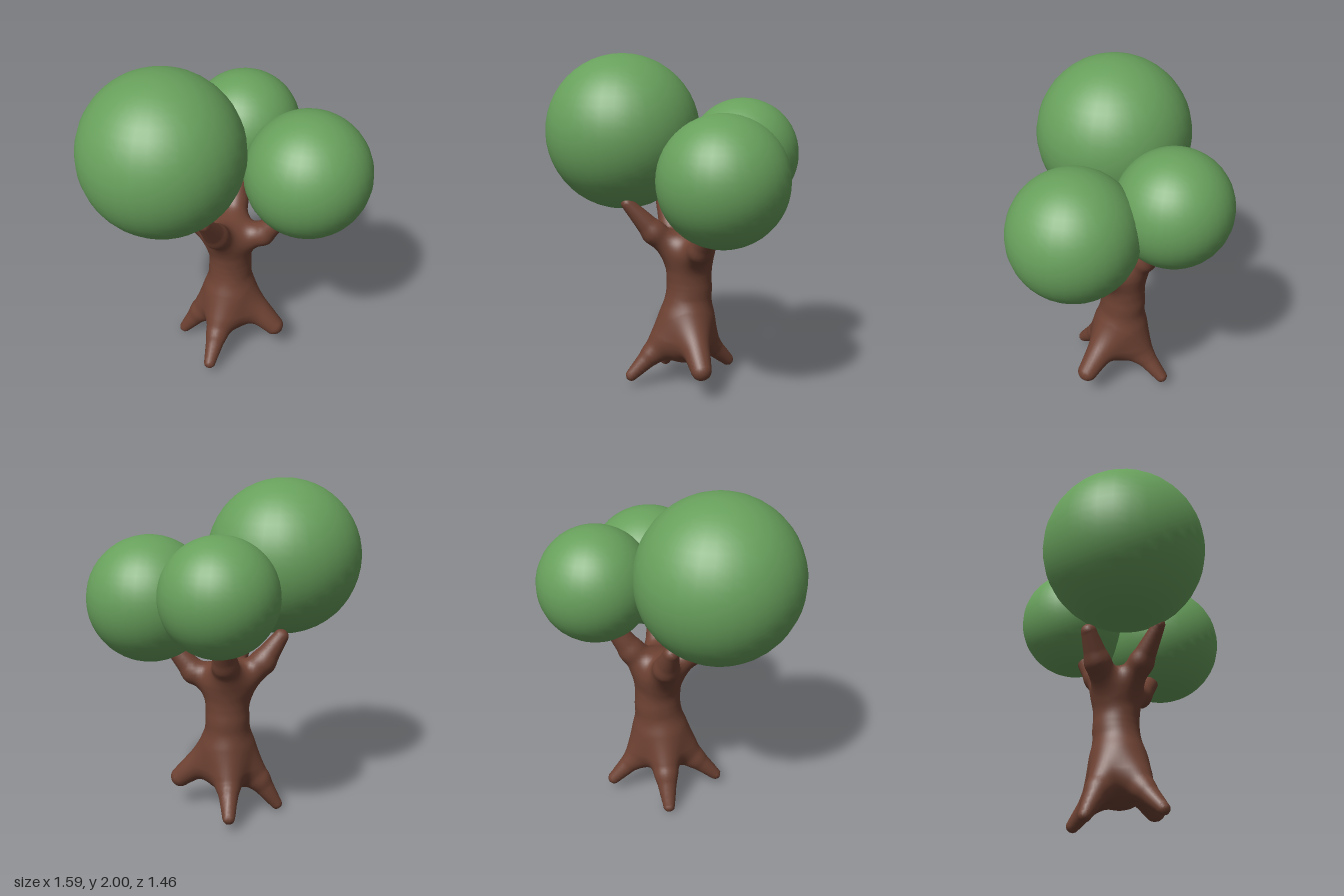
import * as THREE from 'three';

const bark = new THREE.MeshStandardMaterial({ color: 0x6e4233 });
bark.name = 'bark brown';
const leaf = new THREE.MeshStandardMaterial({ color: 0x68a05c });
leaf.name = 'leaf green';

// Each limb is a chain of [x, y, z, radius] points
const limbs = [
  // trunk, slightly deeper than wide
  [[-0.03, 0.3, 0.01, 0.15], [-0.033, 0.6, -0.03, 0.11], [-0.03, 0.82, -0.025, 0.12]],
  [[-0.03, 0.3, -0.05, 0.15], [-0.033, 0.6, -0.07, 0.11], [-0.03, 0.82, -0.065, 0.12]],
  // roots: right, left, front, back
  [[-0.1, 0.4, -0.02, 0.09], [-0.22, 0.2, -0.01, 0.07], [-0.332, 0.038, 0, 0.036]],
  [[0.03, 0.39, -0.03, 0.11], [0.265, 0.185, -0.01, 0.062]],
  [[-0.04, 0.4, 0.03, 0.09], [-0.06, 0.2, 0.18, 0.065], [-0.07, 0.072, 0.315, 0.036]],
  [[-0.04, 0.4, -0.1, 0.09], [-0.06, 0.21, -0.2, 0.065], [-0.08, 0.082, -0.33, 0.038]],
  // branches: right, left, front, back
  [[-0.1, 0.82, -0.03, 0.09], [-0.24, 0.95, -0.01, 0.075], [-0.34, 1.1, 0.01, 0.046]],
  [[0.0, 0.82, -0.04, 0.09], [0.17, 0.88, -0.04, 0.072], [0.32, 1.06, -0.04, 0.045]],
  [[-0.04, 0.84, 0.02, 0.08], [-0.06, 0.96, 0.165, 0.072], [-0.087, 1.14, 0.32, 0.037]],
  [[-0.04, 0.84, -0.09, 0.09], [-0.04, 0.97, -0.2, 0.075], [-0.04, 1.15, -0.32, 0.05]],
];

// Distance to one tapered limb
function limbDistance(limb, x, y, z) {
  let best = Infinity;
  for (let i = 0; i + 1 < limb.length; i++) {
    const a = limb[i], b = limb[i + 1];
    const dx = b[0] - a[0], dy = b[1] - a[1], dz = b[2] - a[2];
    const px = x - a[0], py = y - a[1], pz = z - a[2];
    const t = THREE.MathUtils.clamp((px * dx + py * dy + pz * dz) / (dx * dx + dy * dy + dz * dz), 0, 1);
    const d = Math.hypot(px - t * dx, py - t * dy, pz - t * dz) - a[3] - t * (b[3] - a[3]);
    best = i ? smoothMin(best, d, 0.02) : d;
  }
  return best;
}

function smoothMin(a, b, k) {
  const h = Math.max(k - Math.abs(a - b), 0) / k;
  return Math.min(a, b) - h * h * k / 4;
}

// All limbs melted into one skin
function field(x, y, z) {
  return limbs.reduce((d, limb) => smoothMin(d, limbDistance(limb, x, y, z), 0.075), 1);
}

function gradient(x, y, z) {
  const e = 0.002;
  return [
    (field(x + e, y, z) - field(x - e, y, z)) / (2 * e),
    (field(x, y + e, z) - field(x, y - e, z)) / (2 * e),
    (field(x, y, z + e) - field(x, y, z - e)) / (2 * e),
  ];
}

// Skin the field: one vertex per crossed grid cell, one quad per crossed grid edge
function skinGeometry() {
  const h = 0.02, min = [-0.44, -0.03, -0.43], n = [43, 64, 43];
  const stride = [1, n[0], n[0] * n[1]];
  const values = new Float32Array(n[0] * n[1] * n[2]);
  const cellVertex = new Map();
  const positions = [], normals = [], indices = [];
  const eachNode = (lo, visit) => {
    for (let k = lo; k < n[2] - 1; k++)
      for (let j = lo; j < n[1] - 1; j++)
        for (let i = lo; i < n[0] - 1; i++) visit(i, j, k, i + j * stride[1] + k * stride[2]);
  };
  values.fill(1);
  eachNode(0, (i, j, k, id) => {
    values[id] = field(min[0] + i * h, min[1] + j * h, min[2] + k * h);
  });

  eachNode(0, (i, j, k, id) => {
    let inside = 0;
    for (let c = 0; c < 8; c++) {
      const corner = id + (c & 1) + ((c >> 1) & 1) * stride[1] + (c >> 2) * stride[2];
      if (values[corner] < 0) inside++;
    }
    if (inside === 0 || inside === 8) return;
    // pull the cell centre onto the surface
    let p = [min[0] + (i + 0.5) * h, min[1] + (j + 0.5) * h, min[2] + (k + 0.5) * h];
    for (let step = 0; step < 4; step++) {
      const g = gradient(...p);
      const s = field(...p) / Math.max(g[0] ** 2 + g[1] ** 2 + g[2] ** 2, 0.3);
      p = p.map((v, a) => v - s * g[a]);
    }
    cellVertex.set(id, positions.length / 3);
    positions.push(...p);
    normals.push(...new THREE.Vector3(...gradient(...p)).normalize().toArray());
  });

  eachNode(1, (i, j, k, id) => {
    for (let axis = 0; axis < 3; axis++) {
      const here = values[id] < 0, next = values[id + stride[axis]] < 0;
      if (here === next) continue;
      const b = stride[(axis + 1) % 3], c = stride[(axis + 2) % 3];
      const quad = [id - b - c, id - c, id, id - b].map((cell) => cellVertex.get(cell));
      if (!here) quad.reverse();
      indices.push(quad[0], quad[1], quad[2], quad[0], quad[2], quad[3]);
    }
  });

  const geometry = new THREE.BufferGeometry();
  geometry.setAttribute('position', new THREE.Float32BufferAttribute(positions, 3));
  geometry.setAttribute('normal', new THREE.Float32BufferAttribute(normals, 3));
  geometry.setIndex(indices);
  return geometry;
}

export function createModel() {
  const tree = new THREE.Group();
  tree.name = 'tree';

  const trunk = new THREE.Mesh(skinGeometry(), bark);
  trunk.name = 'trunkWithRootsAndBranches';
  tree.add(trunk);

  // Round leaf crowns
  const crowns = [
    ['frontCrown', -0.33, 1.535, 0.265, 0.465],
    ['leftCrown', 0.42, 1.323, -0.07, 0.37],
    ['backCrown', -0.035, 1.405, -0.397, 0.335],
  ];
  for (const [name, x, y, z, r] of crowns) {
    const crown = new THREE.Mesh(new THREE.SphereGeometry(r, 32, 24), leaf);
    crown.name = name;
    crown.position.set(x, y, z);
    tree.add(crown);
  }
  return tree;
}
